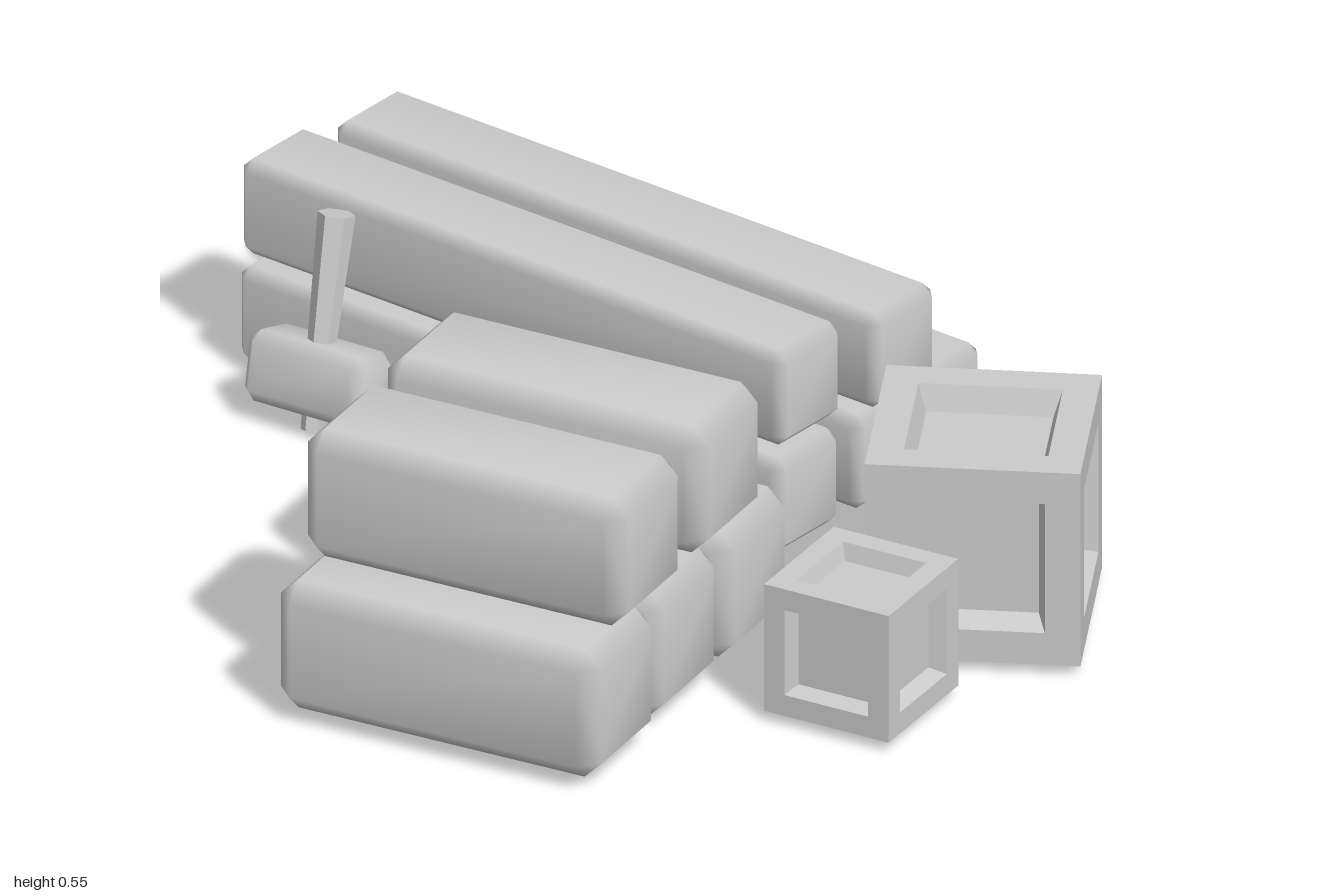
import * as THREE from 'three';
import { mergeGeometries, mergeVertices } from 'three/addons/utils/BufferGeometryUtils.js';
import { ConvexGeometry } from 'three/addons/geometries/ConvexGeometry.js';

const material = new THREE.MeshStandardMaterial({ color: 0xcccccc });

function addMesh(parent, name, geometry, x, y, z, turn = 0) {
  const mesh = new THREE.Mesh(geometry, material);
  mesh.name = name;
  mesh.position.set(x, y, z);
  mesh.rotation.y = turn;
  parent.add(mesh);
  return mesh;
}

// Box with chamfered edges and soft shading
function chamferBox(w, h, d, b) {
  const half = [w / 2, h / 2, d / 2];
  const points = [];
  for (const sx of [-1, 1]) for (const sy of [-1, 1]) for (const sz of [-1, 1]) {
    for (let axis = 0; axis < 3; axis++) {
      const p = [sx, sy, sz].map((s, i) => s * (i === axis ? half[i] : half[i] - b));
      points.push(new THREE.Vector3(...p));
    }
  }
  const geometry = new ConvexGeometry(points);
  geometry.deleteAttribute('normal');
  const merged = mergeVertices(geometry, 1e-4);
  merged.computeVertexNormals();
  return merged;
}

// Crate with a sunken panel on the top and four sides, and a plain bottom
function crateGeometry(size) {
  const h = size / 2;
  const profile = [[h, h], [h * 0.67, h], [h * 0.59, h * 0.75], [0, h * 0.75]]
    .map(([r, y]) => new THREE.Vector2(r * Math.SQRT2, y));
  const panel = new THREE.LatheGeometry(profile, 4, Math.PI / 4).toNonIndexed();
  panel.computeVertexNormals();
  const faces = [panel];
  for (let i = 0; i < 4; i++) {
    faces.push(panel.clone().rotateX(Math.PI / 2).rotateY(i * Math.PI / 2));
  }
  faces.push(new THREE.PlaneGeometry(size, size).rotateX(Math.PI / 2).translate(0, -h, 0).toNonIndexed());
  return mergeGeometries(faces);
}

export function createModel() {
  const model = new THREE.Group();
  model.name = 'storagePile';

  // Stacked beams: three below, two above
  const beam = chamferBox(1.265, 0.195, 0.19, 0.022);
  const beams = [
    [-0.355, 0.117, -0.725], [-0.335, 0.117, -0.525], [-0.335, 0.117, -0.3],
    [-0.325, 0.314, -0.56], [-0.36, 0.314, -0.335],
  ];
  for (const [x, y, z] of beams) addMesh(model, 'beam', beam, x, y, z, 0.03);

  // Stacked bales: three below, two above
  const bale = chamferBox(0.66, 0.262, 0.262, 0.035);
  const bales = [
    [0.155, 0.15, 0.11], [0.21, 0.15, 0.375], [0.275, 0.15, 0.63],
    [0.18, 0.414, 0.215], [0.255, 0.414, 0.53],
  ];
  for (const [x, y, z] of bales) addMesh(model, 'bale', bale, x, y, z, 0.215);

  // Crates
  addMesh(model, 'largeCrate', crateGeometry(0.395), 0.72, 0.217, -0.305, 0.6);
  addMesh(model, 'smallCrate', crateGeometry(0.26), 0.77, 0.15, 0.1, 0.19);

  // Mallet leaning against the beams
  const mallet = new THREE.Group();
  mallet.name = 'mallet';
  mallet.position.set(-0.705, 0.103, -0.115);
  mallet.rotation.set(-0.245, 0.04, 0.06);
  addMesh(mallet, 'malletHead', chamferBox(0.265, 0.135, 0.12, 0.022), 0, 0, 0);
  const handle = new THREE.CylinderGeometry(0.035, 0.021, 0.41, 6).toNonIndexed();
  handle.computeVertexNormals();
  addMesh(mallet, 'malletHandle', handle, 0, 0.103, 0);
  model.add(mallet);

  return model;
}
